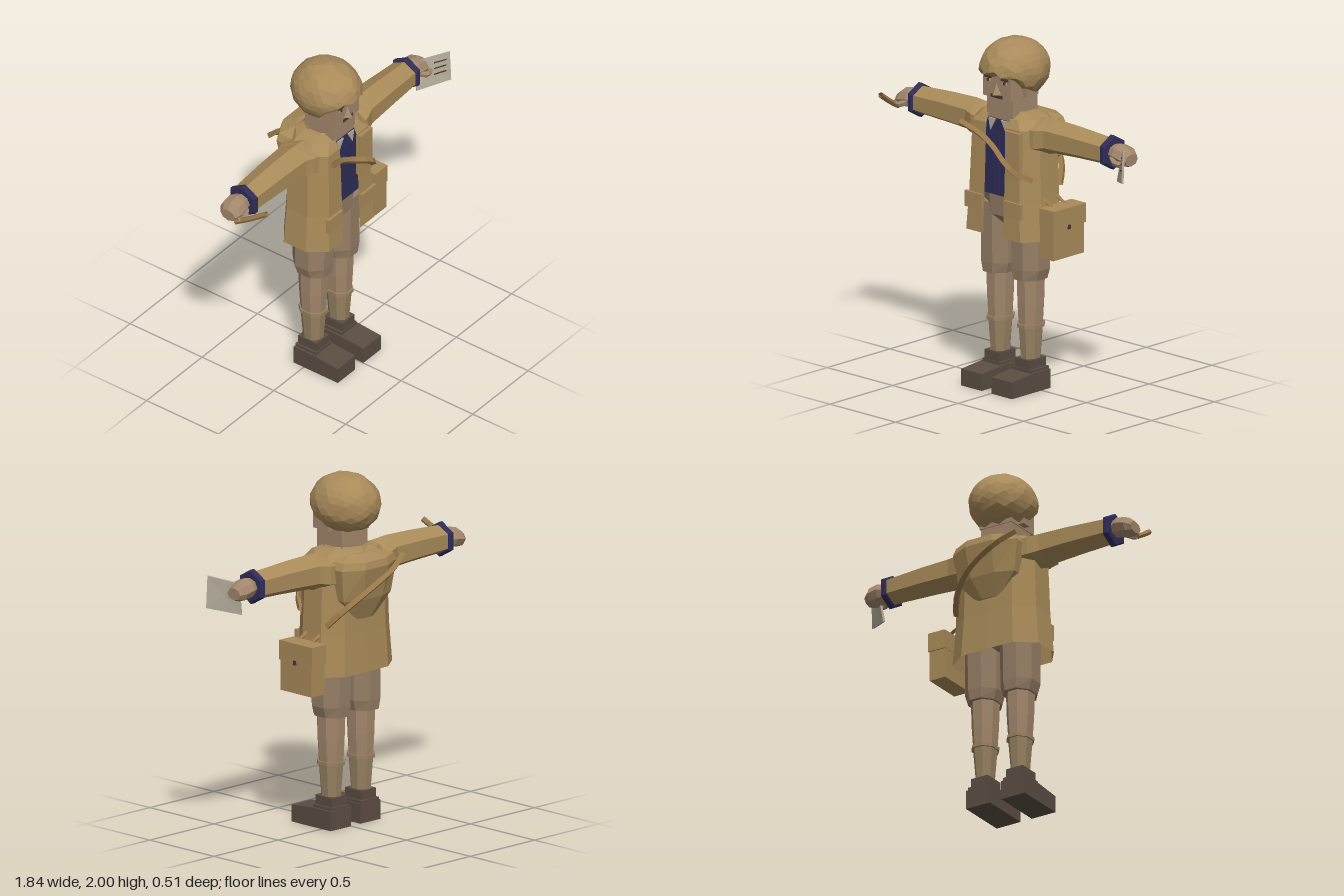
import * as THREE from 'three';

const mat = (name, color, side = THREE.FrontSide) => {
  const m = new THREE.MeshStandardMaterial({ color, side });
  m.name = name;
  return m;
};

// Mesh with faceted normals
function add(parent, name, geometry, material, x = 0, y = 0, z = 0) {
  const g = geometry.index ? geometry.toNonIndexed() : geometry;
  g.computeVertexNormals();
  const mesh = new THREE.Mesh(g, material);
  mesh.name = name;
  mesh.position.set(x, y, z);
  parent.add(mesh);
  return mesh;
}

const box = (w, h, d) => new THREE.BoxGeometry(w, h, d);

// Skin between cross-sections; closed rings are capped at both ends
function loft(rings, closed = true) {
  const pos = [], n = rings[0].length;
  const tri = (...pts) => pts.forEach(p => pos.push(...p));
  const last = closed ? n : n - 1;
  for (let i = 0; i < rings.length - 1; i++) {
    for (let j = 0; j < last; j++) {
      const k = (j + 1) % n;
      const a = rings[i][j], b = rings[i][k], c = rings[i + 1][k], d = rings[i + 1][j];
      tri(a, b, c);
      tri(a, c, d);
    }
  }
  if (closed) [rings[0], rings[rings.length - 1]].forEach((r, end) => {
    const mid = [0, 1, 2].map(k => r.reduce((s, p) => s + p[k], 0) / n);
    for (let j = 0; j < n; j++) {
      const a = r[j], b = r[(j + 1) % n];
      if (end) tri(mid, a, b); else tri(mid, b, a);
    }
  });
  const g = new THREE.BufferGeometry();
  g.setAttribute('position', new THREE.Float32BufferAttribute(pos, 3));
  return g;
}

// Upright ring (x = across, z = depth)
const ringY = (y, rx, rz, cx = 0, cz = 0, n = 8) => Array.from({ length: n }, (_, i) => {
  const a = (i + 0.5) / n * Math.PI * 2;
  return [cx + rx * Math.sin(a), y, cz + rz * Math.cos(a)];
});
// Ring around an arm, s = side
const ringX = (s, x, cy, ry, rz, n = 6, cz = 0) => Array.from({ length: n }, (_, i) => {
  const a = i / n * Math.PI * 2;
  return [s * x, cy + ry * Math.cos(a), cz + s * rz * Math.sin(a)];
});

const tube = (pts, r, seg = 12, sides = 4) => new THREE.TubeGeometry(
  new THREE.CatmullRomCurve3(pts.map(p => new THREE.Vector3(...p))), seg, r, sides);

export function createModel() {
  const coat = mat('coat tan', 0xa98b59, THREE.DoubleSide);
  const hairM = mat('hair', 0xa98a5a);
  const skin = mat('skin', 0xa3876c);
  const shortsM = mat('shorts brown', 0x967f66);
  const sockM = mat('sock', 0x988262);
  const navy = mat('navy', 0x2f2d58);
  const shoeM = mat('shoe brown', 0x5b4d42);
  const paper = mat('paper', 0xb3ad9b);
  const dark = mat('dark brown', 0x4a352c);
  const leather = mat('leather', 0x9a784a, THREE.DoubleSide);

  const root = new THREE.Group();
  root.name = 'figure';
  const body = new THREE.Group();
  body.name = 'body';
  body.position.x = -0.035;
  root.add(body);

  // Coat, open down the front: height, half width, front, back, half opening
  const levels = [
    [0.89, 0.285, 0.185, -0.155, 0.075], [1.12, 0.265, 0.175, -0.145, 0.075],
    [1.4, 0.255, 0.165, -0.14, 0.075], [1.52, 0.25, 0.16, -0.14, 0.075],
    [1.57, 0.19, 0.13, -0.12, 0.085], [1.59, 0.12, 0.09, -0.09, 0.09],
  ];
  add(body, 'coat', loft(levels.map(([y, w, f, b, o]) => {
    const half = [[o, f], [Math.max(o, w * 0.72), f], [w, f * 0.45], [w, b * 0.45], [w * 0.6, b]];
    const right = half.map(([x, z]) => [x, y, z]);
    const left = half.map(([x, z]) => [-x, y, z]).reverse();
    return [...right, [0, y, b - 0.005], ...left];
  }), false), coat);

  // Turned-up collar, open at the front
  add(body, 'collar', loft([[1.53, 0.18, 0.165], [1.6, 0.125, 0.12]].map(([y, rx, rz]) =>
    Array.from({ length: 9 }, (_, i) => {
      const a = 0.55 + i / 8 * (Math.PI * 2 - 1.1);
      return [rx * Math.sin(a), y, 0.01 + rz * Math.cos(a)];
    })), false), coat);

  // Hood hanging at the back
  add(body, 'hood', loft([
    ringY(1.2, 0.08, 0.03, 0, -0.13), ringY(1.32, 0.2, 0.08, 0, -0.13),
    ringY(1.5, 0.23, 0.12, 0, -0.13), ringY(1.54, 0.21, 0.11, 0, -0.13),
    ringY(1.57, 0.12, 0.05, 0, -0.1),
  ]), coat);

  // Front panel and pocket flaps
  add(body, 'lapel', box(0.11, 0.27, 0.03), coat, 0.14, 1.375, 0.165);
  for (const s of [-1, 1]) add(body, 'pocketFlap', box(0.13, 0.09, 0.02), coat, s * 0.15, 1.065, 0.18);

  // Sweater with ribs and shirt collar points
  add(body, 'sweater', box(0.3, 0.44, 0.22), navy, 0, 1.33, 0.025);
  for (const x of [-0.04, 0, 0.04]) add(body, 'sweaterRib', box(0.012, 0.36, 0.008), navy, x, 1.3, 0.138);
  for (const s of [-1, 1]) {
    const pts = [[0.075, 1.55], [0.02, 1.55], [0.06, 1.48]].map(([x, y]) => new THREE.Vector2(s * x, y));
    add(body, 'shirtCollar', new THREE.ExtrudeGeometry(new THREE.Shape(pts),
      { depth: 0.008, bevelEnabled: false }), paper, 0, 0, 0.137);
  }

  // Hips, legs and shoes
  add(body, 'hips', loft([
    ringY(0.93, 0.07, 0.06, 0, 0.01), ringY(0.99, 0.2, 0.12, 0, 0.01), ringY(1.14, 0.22, 0.13, 0, 0.01),
  ]), shortsM);
  for (const s of [-1, 1]) {
    const leg = new THREE.Group();
    leg.name = s > 0 ? 'leftLeg' : 'rightLeg';
    leg.position.set(s * 0.116, 0, 0.005);
    body.add(leg);
    add(leg, 'shortsLeg', loft([
      ringY(0.64, 0.092, 0.112), ringY(0.7, 0.112, 0.118), ringY(1.05, 0.112, 0.125),
    ]), shortsM);
    add(leg, 'lowerLeg', loft([
      ringY(0.37, 0.066, 0.076), ringY(0.5, 0.075, 0.083), ringY(0.66, 0.08, 0.088),
    ]), skin);
    add(leg, 'sock', loft([ringY(0.16, 0.05, 0.06), ringY(0.37, 0.067, 0.077)]), sockM);
    add(leg, 'sockBand', loft([ringY(0.36, 0.075, 0.088), ringY(0.38, 0.075, 0.088)]), sockM);
    add(leg, 'shoeTop', box(0.11, 0.06, 0.13), shoeM, 0, 0.15, 0.003);
    add(leg, 'shoeHeel', box(0.135, 0.04, 0.145), shoeM, 0, 0.107, 0);
    // Side outline sloping down to the toe
    const side = new THREE.Shape([[-0.075, 0], [0.232, 0], [0.232, 0.096], [0.07, 0.11], [-0.075, 0.11]]
      .map(p => new THREE.Vector2(...p)));
    const shoe = add(leg, 'shoe', new THREE.ExtrudeGeometry(side, { depth: 0.157, bevelEnabled: false }),
      shoeM, 0.0785);
    shoe.rotation.y = -Math.PI / 2;
  }

  // Arms
  for (const s of [-1, 1]) {
    const arm = new THREE.Group();
    arm.name = s > 0 ? 'leftArm' : 'rightArm';
    body.add(arm);
    add(arm, 'sleeve', loft([
      ringX(s, 0.18, 1.47, 0.1, 0.14), ringX(s, 0.24, 1.475, 0.105, 0.135),
      ringX(s, 0.3, 1.485, 0.1, 0.11), ringX(s, 0.48, 1.488, 0.092, 0.102),
      ringX(s, 0.73, 1.485, 0.08, 0.088),
    ]), coat);
    add(arm, 'cuff', loft([
      ringX(s, 0.715, 1.483, 0.09, 0.09), ringX(s, 0.722, 1.483, 0.099, 0.1),
      ringX(s, 0.745, 1.483, 0.099, 0.1), ringX(s, 0.752, 1.483, 0.09, 0.09),
    ]), navy);
    add(arm, 'hand', loft([
      ringX(s, 0.74, 1.485, 0.045, 0.05, 8), ringX(s, 0.79, 1.485, 0.058, 0.072, 8, -0.005),
      ringX(s, 0.845, 1.475, 0.056, 0.072, 8, -0.005), ringX(s, 0.88, 1.465, 0.035, 0.05, 8, 0),
    ]), skin);
    add(arm, 'thumb', tube([[s * 0.78, 1.47, 0.05], [s * 0.83, 1.45, 0.075], [s * 0.87, 1.45, 0.06]],
      0.018, 4, 5), skin);
  }

  // Head and face
  const head = new THREE.Group();
  head.name = 'head';
  body.add(head);
  add(head, 'neck', box(0.2, 0.15, 0.195), skin, 0, 1.615, 0.033);
  add(head, 'skull', box(0.21, 0.2, 0.225), skin, 0, 1.775, 0.043);
  const nose = add(head, 'nose', new THREE.ConeGeometry(0.036, 0.07, 4), skin, 0, 1.733, 0.152);
  nose.name = 'nose';
  add(head, 'mouth', box(0.085, 0.018, 0.008), dark, 0, 1.672, 0.136 + 0.02);
  mouthShift(head);
  for (const s of [-1, 1]) {
    add(head, 'ear', box(0.04, 0.075, 0.06), skin, s * 0.12, 1.72, 0.03);
    add(head, 'eye', box(0.032, 0.018, 0.006), paper, s * 0.063, 1.773, 0.157);
    add(head, 'pupil', box(0.015, 0.018, 0.008), dark, s * 0.063, 1.773, 0.159);
    add(head, 'eyebrow', box(0.05, 0.012, 0.009), dark, s * 0.063, 1.79, 0.159);
  }

  // Hair: faceted dome whose lower edge rises towards the forehead
  const dome = new THREE.IcosahedronGeometry(1, 4);
  const p = dome.attributes.position, v = new THREE.Vector3();
  for (let i = 0; i < p.count; i++) {
    v.fromBufferAttribute(p, i);
    const wobble = 1 + 0.025 * Math.sin(v.x * 9 + v.y * 5) * Math.cos(v.z * 8 - v.y * 4);
    v.multiplyScalar(wobble);
    const x = v.x * 0.185, z = 0.012 + v.z * 0.21;
    const low = 1.69 + 0.115 * THREE.MathUtils.smoothstep(z, 0, 0.16)
      + 0.03 * THREE.MathUtils.smoothstep(z, 0.16, 0.22) + 0.012 * Math.sin(x * 60);
    p.setXYZ(i, x, Math.max(low, 1.825 + v.y * 0.173), z);
  }
  add(head, 'hair', dome, hairM);

  // Satchel with flap, clasp, hangers and shoulder strap
  const bag = new THREE.Group();
  bag.name = 'satchel';
  root.add(bag);
  add(bag, 'satchelBody', box(0.102, 0.27, 0.245), coat, 0.312, 0.945, -0.003);
  add(bag, 'satchelFlap', box(0.11, 0.11, 0.255), coat, 0.314, 1.04, -0.006);
  add(bag, 'clasp', box(0.009, 0.025, 0.018), dark, 0.369, 0.985, 0);
  for (const z of [0.05, -0.05]) {
    add(bag, 'hanger', tube([[0.2, 1.14, z], [0.24, 1.12, z], [0.29, 1.09, z]], 0.012, 3), leather);
  }
  add(bag, 'frontStrap', tube([[-0.25, 1.515, 0.225], [-0.14, 1.46, 0.185], [-0.03, 1.4, 0.185],
    [0.08, 1.35, 0.225], [0.14, 1.29, 0.2], [0.2, 1.24, 0.12]], 0.02), leather);
  add(bag, 'backStrap', tube([[-0.26, 1.53, -0.21], [-0.15, 1.47, -0.245], [0, 1.39, -0.235],
    [0.1, 1.32, -0.2], [0.17, 1.25, -0.15], [0.21, 1.18, -0.09]], 0.02), leather);

  // Pencil in the right hand
  add(root, 'pencil', tube([[-0.9, 1.43, 0.04], [-0.88, 1.48, 0.13], [-0.855, 1.54, 0.225]], 0.016, 4, 6), leather);

  // Note sheet in the left hand, placed from its corner and two edges
  const slab = (u0, u1, w0, w1, h0, h1) => loft([h0, h1].map(h =>
    [[u0, w0], [u0, w1], [u1, w1], [u1, w0]].map(([u, w]) => [
      0.79 + 0.125 * u - 0.03 * w + 0.03 * u * w - 0.75 * h,
      1.515 + 0.045 * u - 0.185 * w + 0.15 * h,
      0.01 + 0.125 * u + 0.01 * w + 0.64 * h])));
  add(root, 'noteSheet', slab(0, 1, 0, 1, -0.006, 0.006), paper);
  for (const w of [0.2, 0.4, 0.6]) add(root, 'noteLine', slab(0.5, 0.88, w, w + 0.04, 0.005, 0.008), dark);

  return root;
}

// Seats the mouth on the front of the face
function mouthShift(head) {
  const mouth = head.getObjectByName('mouth');
  mouth.position.set(0, 1.686, 0.157);
}
